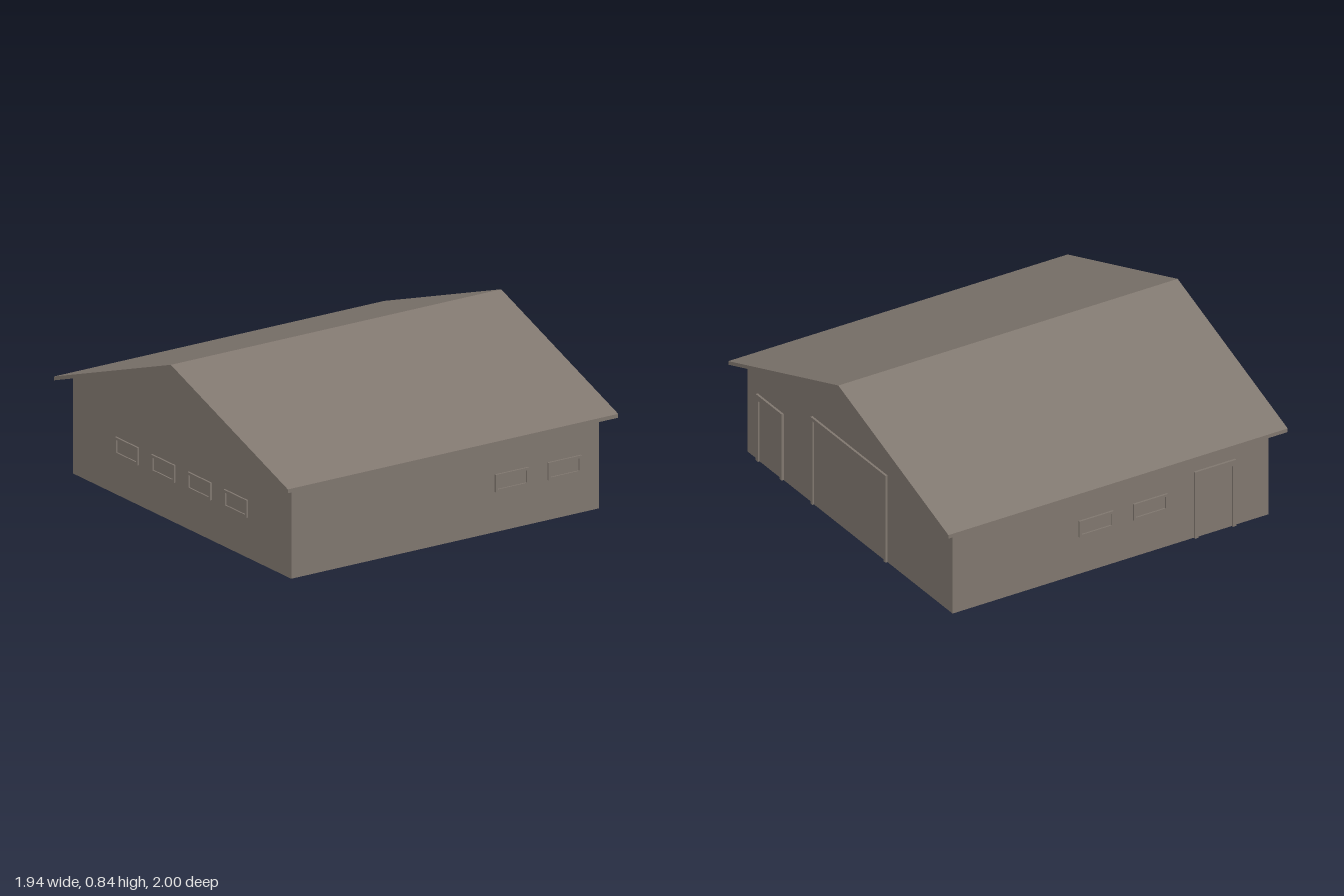
import * as THREE from 'three';

const WALL_X = 0.905, WALL_Z = 0.932, ROOF_X = 0.972;
const RIDGE = 0.842, PITCH = 0.35, SLAB = 0.02;
const EAVE = RIDGE - SLAB - PITCH * WALL_Z; // height where side walls meet the roof

const polygon = pts => new THREE.Shape(pts.map(p => new THREE.Vector2(...p)));

export function createModel() {
  const model = new THREE.Group();
  model.name = 'barn';
  const taupe = new THREE.MeshStandardMaterial({ color: 0x80776f, side: THREE.DoubleSide });
  taupe.name = 'taupe';

  const add = (parent, name, geometry) => {
    const mesh = new THREE.Mesh(geometry, taupe);
    mesh.name = name;
    parent.add(mesh);
    return mesh;
  };

  // Each wall is a group whose local +z faces outwards
  const makeWall = (name, angle, distance, geometry) => {
    const wall = new THREE.Group();
    wall.name = name;
    wall.rotation.y = angle;
    wall.position.set(Math.sin(angle) * distance, 0, Math.cos(angle) * distance);
    add(wall, name + 'Panel', geometry);
    model.add(wall);
    return wall;
  };
  const side = new THREE.PlaneGeometry(2 * WALL_X, EAVE).translate(0, EAVE / 2, 0);
  const gable = new THREE.ShapeGeometry(polygon([
    [-WALL_Z, 0], [WALL_Z, 0], [WALL_Z, EAVE], [0, RIDGE - SLAB], [-WALL_Z, EAVE],
  ]));
  const front = makeWall('frontWall', 0, WALL_Z, side);
  const back = makeWall('backWall', Math.PI, WALL_Z, side);
  const left = makeWall('leftGable', Math.PI / 2, WALL_X, gable);
  const right = makeWall('rightGable', -Math.PI / 2, WALL_X, gable);

  // Gable roof: one chevron slab with vertical eave ends
  const chevron = polygon([
    [-1, RIDGE - PITCH], [-1, RIDGE - PITCH - SLAB], [0, RIDGE - SLAB],
    [1, RIDGE - PITCH - SLAB], [1, RIDGE - PITCH], [0, RIDGE],
  ]);
  const roof = new THREE.ExtrudeGeometry(chevron, { depth: 2 * ROOF_X, bevelEnabled: false });
  add(model, 'roof', roof.translate(0, 0, -ROOF_X).rotateY(Math.PI / 2));

  // Raised window frame around a pane
  const addWindow = (wall, x) => {
    const w = 0.098, y0 = 0.207, y1 = 0.297, t = 0.013;
    const shape = polygon([[-w, y0], [w, y0], [w, y1], [-w, y1]]);
    shape.holes.push(polygon([[-w + t, y0 + t], [-w + t, y1 - t], [w - t, y1 - t], [w - t, y0 + t]]));
    const frame = new THREE.ExtrudeGeometry(shape, { depth: 0.01, bevelEnabled: false });
    add(wall, 'windowFrame', frame).position.x = x;
    const pane = new THREE.PlaneGeometry(2 * (w - t), y1 - y0 - 2 * t);
    add(wall, 'windowPane', pane).position.set(x, (y0 + y1) / 2, 0.002);
  };

  // Door leaf inside a raised three-sided frame
  const addDoor = (wall, name, x, w, h, side, top) => {
    const shape = polygon([
      [-w, 0], [-w + side, 0], [-w + side, h - top], [w - side, h - top],
      [w - side, 0], [w, 0], [w, h], [-w, h],
    ]);
    const frame = new THREE.ExtrudeGeometry(shape, { depth: 0.012, bevelEnabled: false });
    add(wall, name + 'Frame', frame).position.x = x;
    const leaf = new THREE.PlaneGeometry(2 * (w - side), h - top);
    add(wall, name + 'Leaf', leaf).position.set(x, (h - top) / 2, 0.002);
  };

  for (const x of [0.39, 0.7]) addWindow(front, x);
  for (const x of [-0.085, 0.225]) addWindow(back, x);
  for (const x of [-0.465, -0.155, 0.155, 0.465]) addWindow(right, x);
  addDoor(back, 'backDoor', 0.595, 0.118, 0.37, 0.02, 0.03);
  addDoor(left, 'sideDoor', -0.72, 0.118, 0.37, 0.02, 0.03);
  addDoor(left, 'garageDoor', 0, 0.34, 0.485, 0.017, 0.017);

  return model;
}
